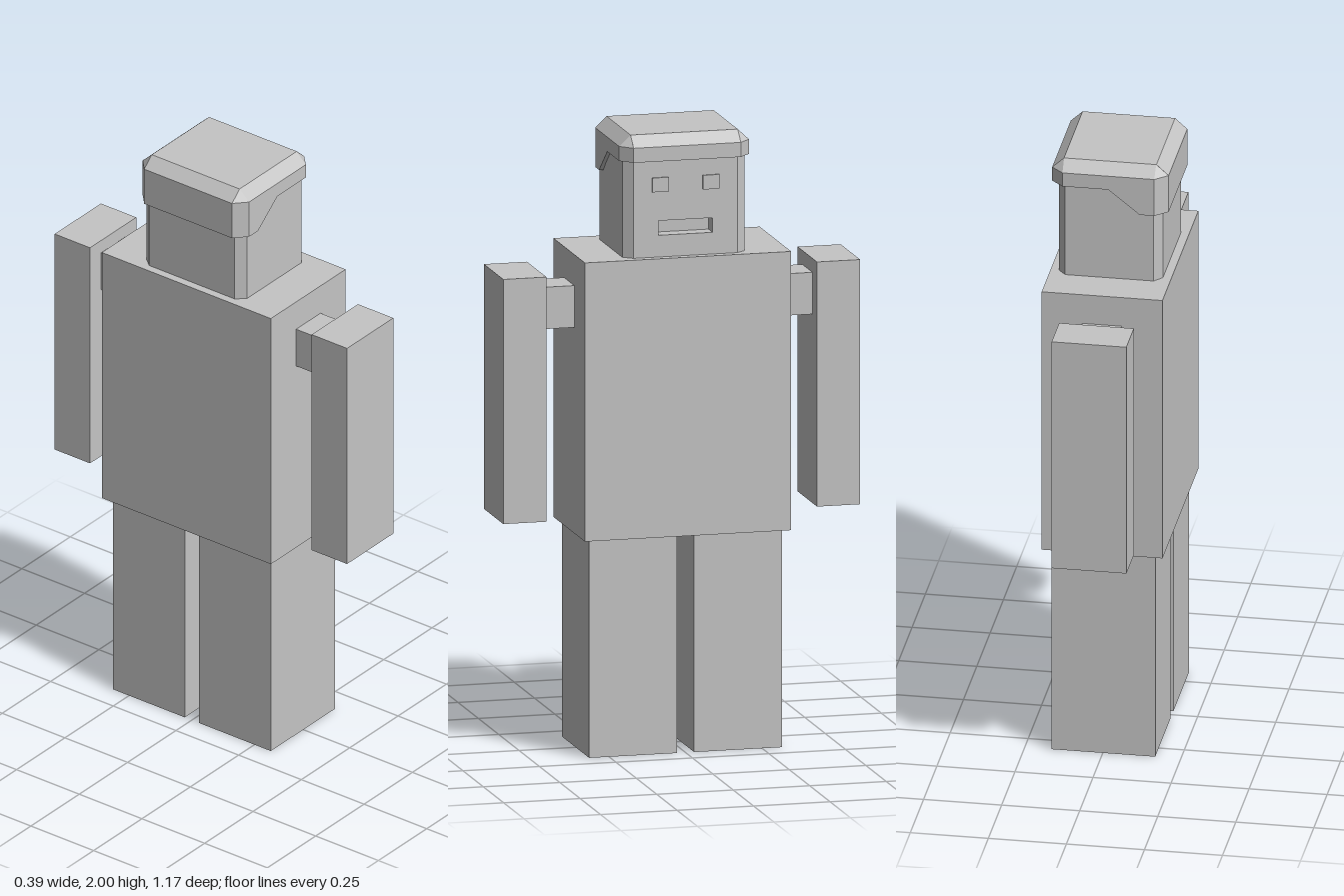
import * as THREE from 'three';

const grey = new THREE.MeshStandardMaterial({ color: 0xc4c4c4 });
grey.name = 'light grey';

function add(parent, name, geometry) {
  const mesh = new THREE.Mesh(geometry, grey);
  mesh.name = name;
  parent.add(mesh);
  return mesh;
}

// Box given by its minimum and maximum on each axis
function box(parent, name, [x0, x1], [y0, y1], [z0, z1]) {
  const g = new THREE.BoxGeometry(x1 - x0, y1 - y0, z1 - z0);
  g.translate((x0 + x1) / 2, (y0 + y1) / 2, (z0 + z1) / 2);
  return add(parent, name, g);
}

const polygon = (pts) => new THREE.Shape(pts.map(([x, y]) => new THREE.Vector2(x, y)));
const rect = (w, y0, y1) => polygon([[-w, y0], [w, y0], [w, y1], [-w, y1]]);

// Closed flat-shaded skin through rings of equal point count
function loft(rings) {
  const out = [];
  for (let r = 0; r + 1 < rings.length; r++) {
    const a = rings[r], b = rings[r + 1], n = a.length;
    for (let i = 0; i < n; i++) {
      const j = (i + 1) % n;
      out.push(...a[i], ...b[i], ...b[j], ...a[i], ...b[j], ...a[j]);
    }
  }
  const g = new THREE.BufferGeometry();
  g.setAttribute('position', new THREE.Float32BufferAttribute(out, 3));
  g.computeVertexNormals();
  return g;
}

function createHead() {
  const head = new THREE.Group();
  head.name = 'head';

  // Skull with bevelled corners and a pocket for the face panel
  const skull = new THREE.ExtrudeGeometry(polygon([
    [0.165, 0.17], [0.14, 0.2], [-0.143, 0.2], [-0.168, 0.17],
    [-0.168, -0.17], [-0.143, -0.2], [0.14, -0.2], [0.165, -0.17],
    [0.115, -0.17], [0.115, 0.17],
  ]), { depth: 0.35, bevelEnabled: false });
  skull.rotateX(Math.PI / 2).translate(0, 1.95, 0);
  add(head, 'skull', skull);

  // Face panel with the mouth cut out
  const panel = rect(0.17, 1.6, 1.95);
  panel.holes.push(rect(0.088, 1.675, 1.722));
  const face = new THREE.ExtrudeGeometry(panel, { depth: 0.05, bevelEnabled: false });
  face.rotateY(Math.PI / 2).translate(0.115, 0, 0);
  add(head, 'face', face);

  for (const z of [0.083, -0.083]) {
    box(head, 'eye', [0.16, 0.171], [1.816, 1.862], [z - 0.027, z + 0.027]);
  }

  // Hair: bevelled cap that hangs lower at the back
  const outline = [
    [0.186, -0.175], [0.186, 0.175], [0.147, 0.212], [0, 0.212], [-0.1, 0.212], [-0.147, 0.212],
    [-0.187, 0.175], [-0.187, -0.175], [-0.147, -0.212], [-0.1, -0.212], [0, -0.212], [0.147, -0.212],
  ];
  const hem = (x) => 1.918 - 0.08 * THREE.MathUtils.clamp(-x / 0.1, 0, 1);
  const clamp = (v, m) => THREE.MathUtils.clamp(v, -m, m);
  add(head, 'hair', loft([
    outline.map(([x, z]) => [x * 0.85, hem(x), z * 0.85]),
    outline.map(([x, z]) => [x, hem(x), z]),
    outline.map(([x, z]) => [x, 1.965, z]),
    outline.map(([x, z]) => [clamp(x, 0.148), 2, clamp(z, 0.175)]),
    outline.map(() => [0, 2, 0]),
  ]));
  return head;
}

export function createModel() {
  const model = new THREE.Group();
  model.name = 'blockFigure';

  box(model, 'torso', [-0.195, 0.192], [0.705, 1.605], [-0.338, 0.336]);
  model.add(createHead());

  // Limbs, mirrored across z
  for (const s of [1, -1]) {
    const span = (a, b) => (s > 0 ? [a, b] : [-b, -a]);
    box(model, 'leg', [-0.168, 0.165], [0, 0.705], span(0.028, 0.315));
    box(model, 'shoulder', [-0.064, 0.062], [1.37, 1.505], span(0.33, 0.445));
    box(model, 'arm', [-0.121, 0.118], [0.76, 1.55], span(0.442, 0.583));
  }
  return model;
}
